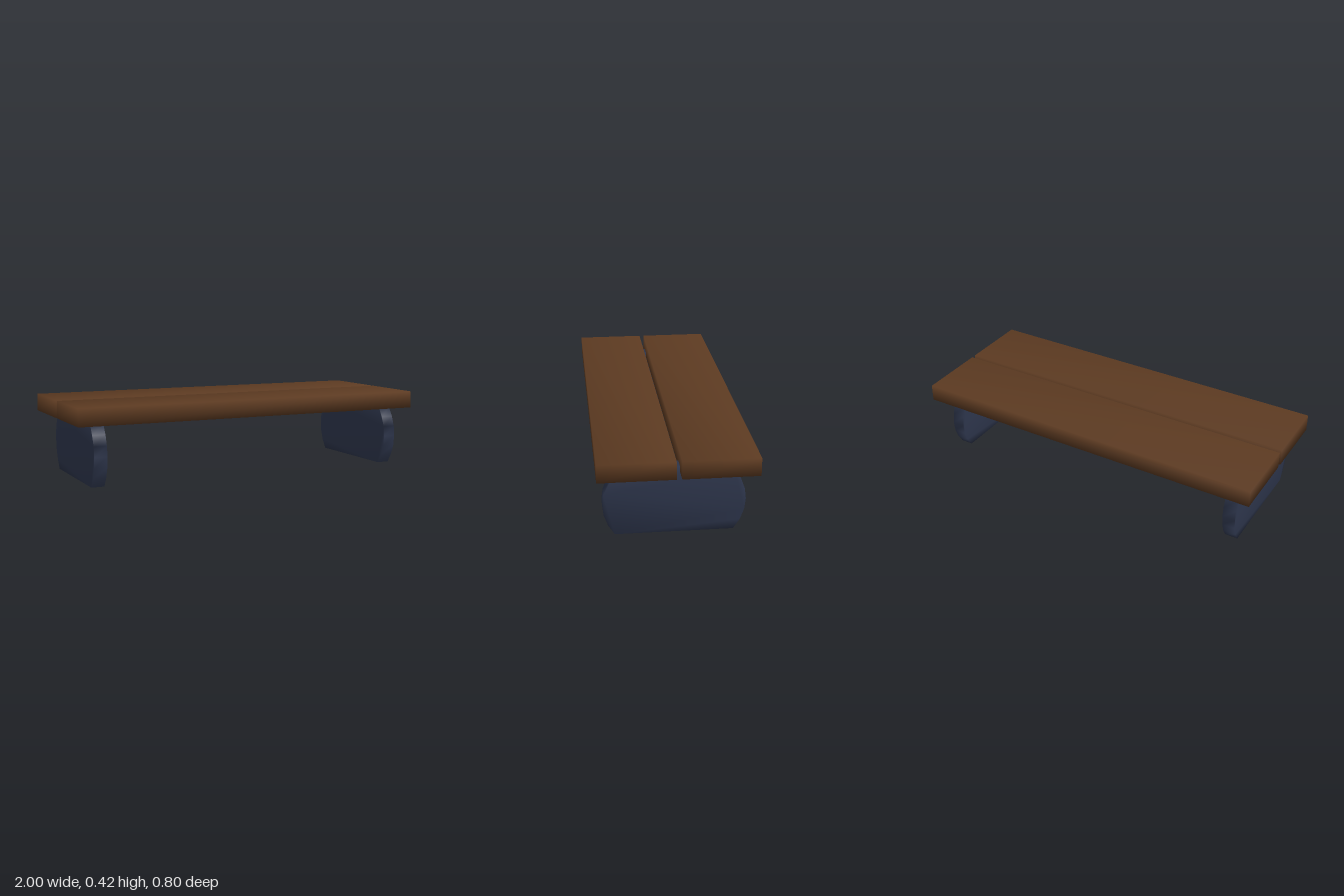
import * as THREE from 'three';
import { mergeVertices } from 'three/addons/utils/BufferGeometryUtils.js';

// Weld all corners so the shading runs smoothly over the edges
function weld(geometry) {
  geometry.deleteAttribute('normal');
  geometry.deleteAttribute('uv');
  const welded = mergeVertices(geometry, 1e-4);
  welded.computeVertexNormals();
  return welded;
}

export function createModel() {
  const group = new THREE.Group();
  group.name = 'bench';
  const wood = new THREE.MeshStandardMaterial({ color: 0x5c3a21 });
  const metal = new THREE.MeshStandardMaterial({ color: 0x2c344a });

  // Two seat planks with a narrow gap between them
  const plankGeometry = weld(new THREE.BoxGeometry(2, 0.094, 0.385));
  for (const [name, z] of [['frontPlank', 0.206], ['backPlank', -0.206]]) {
    const plank = new THREE.Mesh(plankGeometry, wood);
    plank.name = name;
    plank.position.set(0, 0.374, z);
    group.add(plank);
  }

  // Slab legs: flat foot, bulging ends and a shallow peak under the gap
  const thickness = 0.07;
  const middle = 0.0125;
  const side = [
    [0.297, 0], [0.33, 0.051], [0.35, 0.106], [0.357, 0.163],
    [0.35, 0.219], [0.33, 0.274], [0.297, 0.326],
  ];
  const outline = [
    ...side.map(([z, y]) => new THREE.Vector2(middle + z, y)),
    new THREE.Vector2(-0.01, 0.356),
    ...side.slice().reverse().map(([z, y]) => new THREE.Vector2(middle - z, y)),
  ];
  const legGeometry = weld(
    new THREE.ExtrudeGeometry(new THREE.Shape(outline), { depth: thickness, bevelEnabled: false })
      .rotateY(-Math.PI / 2)
      .translate(thickness / 2, 0, 0)
  );
  for (const [name, x] of [['leftLeg', 0.877], ['rightLeg', -0.877]]) {
    const leg = new THREE.Mesh(legGeometry, metal);
    leg.name = name;
    leg.position.x = x;
    group.add(leg);
  }

  return group;
}
